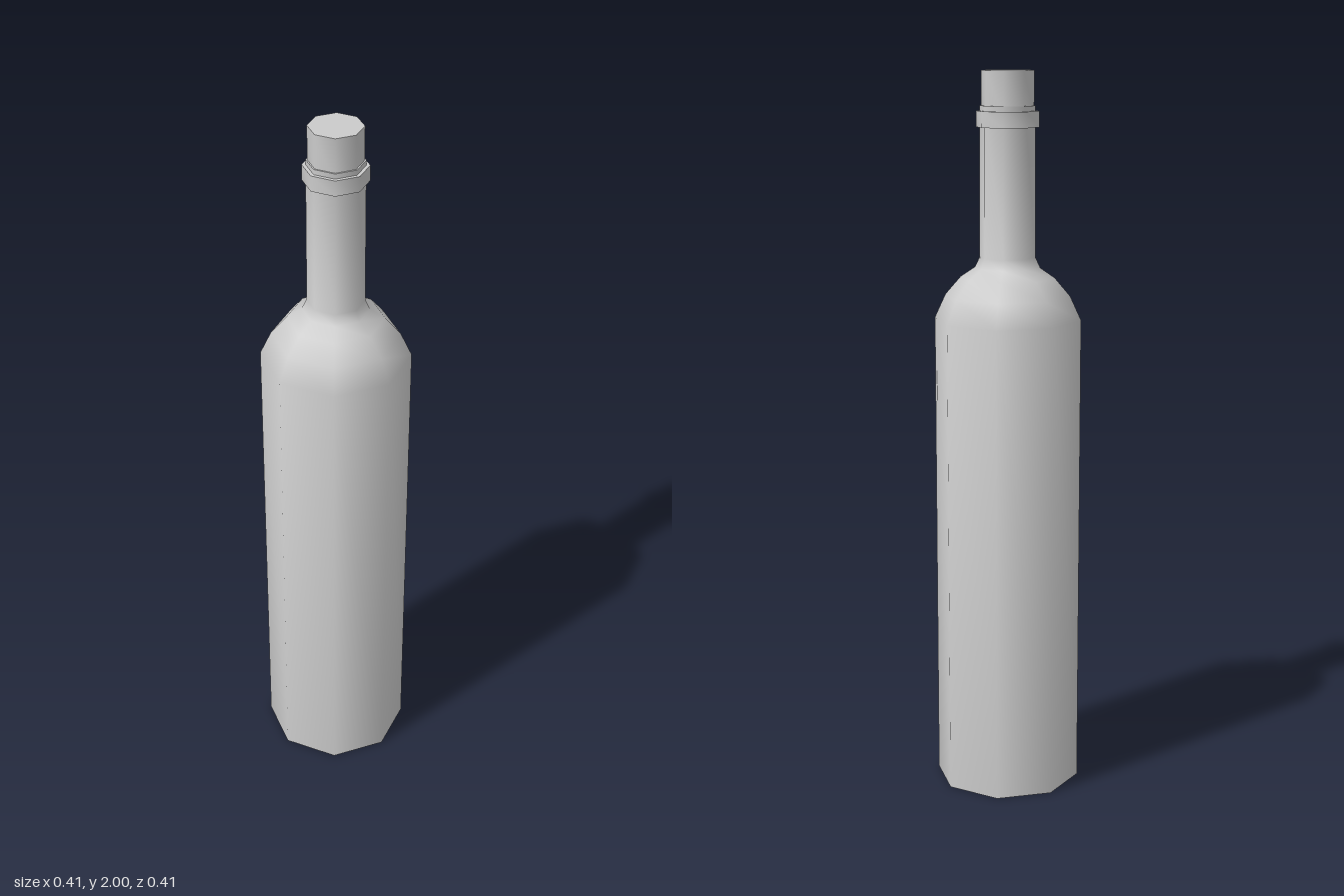
import * as THREE from 'three';
import { toCreasedNormals } from 'three/addons/utils/BufferGeometryUtils.js';

const SIDES = 8;
const material = new THREE.MeshStandardMaterial({ color: 0xcccccc });

// Eight-sided turned part; profile points are [radius, height], bottom to top
function turned(name, profile) {
  const points = profile.map(([r, y]) => new THREE.Vector2(r, y));
  // Rounded around the sides, sharp at rims and steps
  const geometry = toCreasedNormals(new THREE.LatheGeometry(points, SIDES), 1.0);
  const mesh = new THREE.Mesh(geometry, material);
  mesh.name = name;
  return mesh;
}

export function createModel() {
  const bottle = new THREE.Group();
  bottle.name = 'bottle';

  // Flat base, straight body, rounded shoulder and neck up to the mouth
  bottle.add(turned('glassBody', [
    [0, 0], [0.203, 0], [0.203, 1.33],
    [0.173, 1.395], [0.13, 1.445], [0.09, 1.472], [0.077, 1.5],
    [0.076, 1.907], [0, 1.907],
  ]));

  // Raised collar around the neck
  bottle.add(turned('neckRing', [
    [0.07, 1.85], [0.086, 1.85], [0.086, 1.893], [0.07, 1.893],
  ]));

  // Stopper standing out of the mouth
  bottle.add(turned('cork', [
    [0.072, 1.88], [0.072, 2], [0, 2],
  ]));

  return bottle;
}
